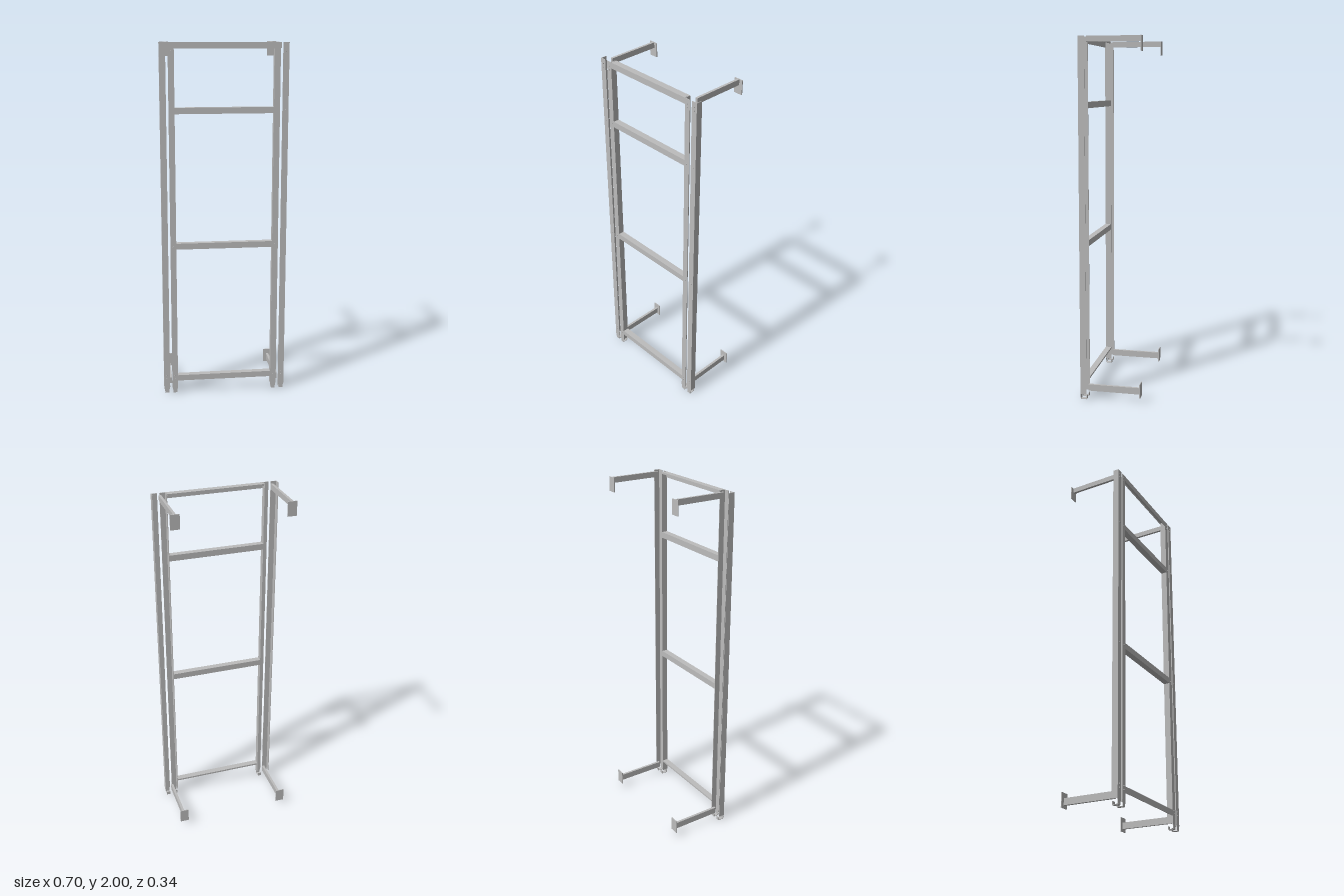
import * as THREE from 'three';

export function createModel() {
  const model = new THREE.Group();
  const steel = new THREE.MeshStandardMaterial({ color: 0xbcbcbc });
  steel.name = 'galvanised steel';

  const FRONT = 0.166, BACK = 0.131, T = 0.003;

  // box given by its min and max corners
  function box(parent, name, x0, x1, y0, y1, z0, z1) {
    const mesh = new THREE.Mesh(new THREE.BoxGeometry(Math.abs(x1 - x0), y1 - y0, z1 - z0), steel);
    mesh.position.set((x0 + x1) / 2, (y0 + y1) / 2, (z0 + z1) / 2);
    mesh.name = name;
    parent.add(mesh);
  }

  // angle-section post: front face tapering at the foot, one side wall, folded foot
  function post(name, wallX, freeX) {
    const g = new THREE.Group();
    g.name = name;
    const d = Math.sign(freeX - wallX);
    const face = new THREE.Shape([
      [wallX + d * 0.006, 0], [freeX - d * 0.006, 0], [freeX - d * 0.004, 0.02], [freeX, 0.035],
      [freeX, 2], [wallX, 2], [wallX, 0.03], [wallX + d * 0.003, 0.02],
    ].map(([x, y]) => new THREE.Vector2(x, y)));
    const geo = new THREE.ExtrudeGeometry(face, { depth: T, bevelEnabled: false });
    const front = new THREE.Mesh(geo, steel);
    front.position.z = FRONT - T;
    front.name = 'postFace';
    g.add(front);
    box(g, 'postWall', wallX, wallX + d * T, 0.03, 2, BACK, FRONT - T);
    // foot folded back and up
    box(g, 'footTab', wallX + d * 0.006, freeX - d * 0.006, 0, T, BACK, FRONT - T);
    box(g, 'footLip', wallX + d * 0.006, freeX - d * 0.006, T, 0.02, BACK, BACK + T);

    // screw heads level with the rails
    const headX = (wallX + freeX) / 2;
    for (const y of [0.085, 0.105, 0.878, 1.637, 1.955, 1.975]) {
      const head = new THREE.Mesh(new THREE.CylinderGeometry(0.004, 0.004, 0.004, 12), steel);
      head.rotation.x = Math.PI / 2;
      head.position.set(headX, y, FRONT + 0.002);
      head.name = 'screwHead';
      g.add(head);
    }
    model.add(g);
  }

  for (const [side, s] of [['left', 1], ['right', -1]]) {
    post(side + 'OuterPost', s * 0.352, s * 0.318);
    post(side + 'InnerPost', s * 0.272, s * 0.305);
  }

  // top and bottom rails: open angle with a short rear lip
  for (const [name, y0, y1] of [['topRail', 1.967, 2], ['bottomRail', 0.073, 0.106]]) {
    const g = new THREE.Group();
    g.name = name;
    box(g, 'railFace', -0.272, 0.272, y0, y1, FRONT - T, FRONT);
    box(g, 'railFlange', -0.27, 0.27, y1 - T, y1, BACK, FRONT - T);
    box(g, 'railLip', -0.268, 0.268, y1 - 0.01, y1 - T, BACK, BACK + T);
    model.add(g);
  }

  // middle rails: closed section
  box(model, 'upperMiddleRail', -0.272, 0.272, 1.62, 1.654, BACK, FRONT);
  box(model, 'lowerMiddleRail', -0.272, 0.272, 0.863, 0.897, BACK, FRONT);

  // wall brackets: arm and mounting plate at each corner
  for (const [side, s] of [['Left', 1], ['Right', -1]]) {
    for (const [level, a0, a1, p0, p1] of [
      ['top', 1.969, 2, 1.92, 2],
      ['bottom', 0.041, 0.078, 0.026, 0.106],
    ]) {
      const g = new THREE.Group();
      g.name = level + side + 'Bracket';
      box(g, 'bracketArm', s * 0.304, s * 0.318, a0, a1, -0.167, 0.128);
      box(g, 'mountingPlate', s * 0.286, s * 0.337, p0, p1, -0.172, -0.167);
      model.add(g);
    }
  }
  return model;
}
